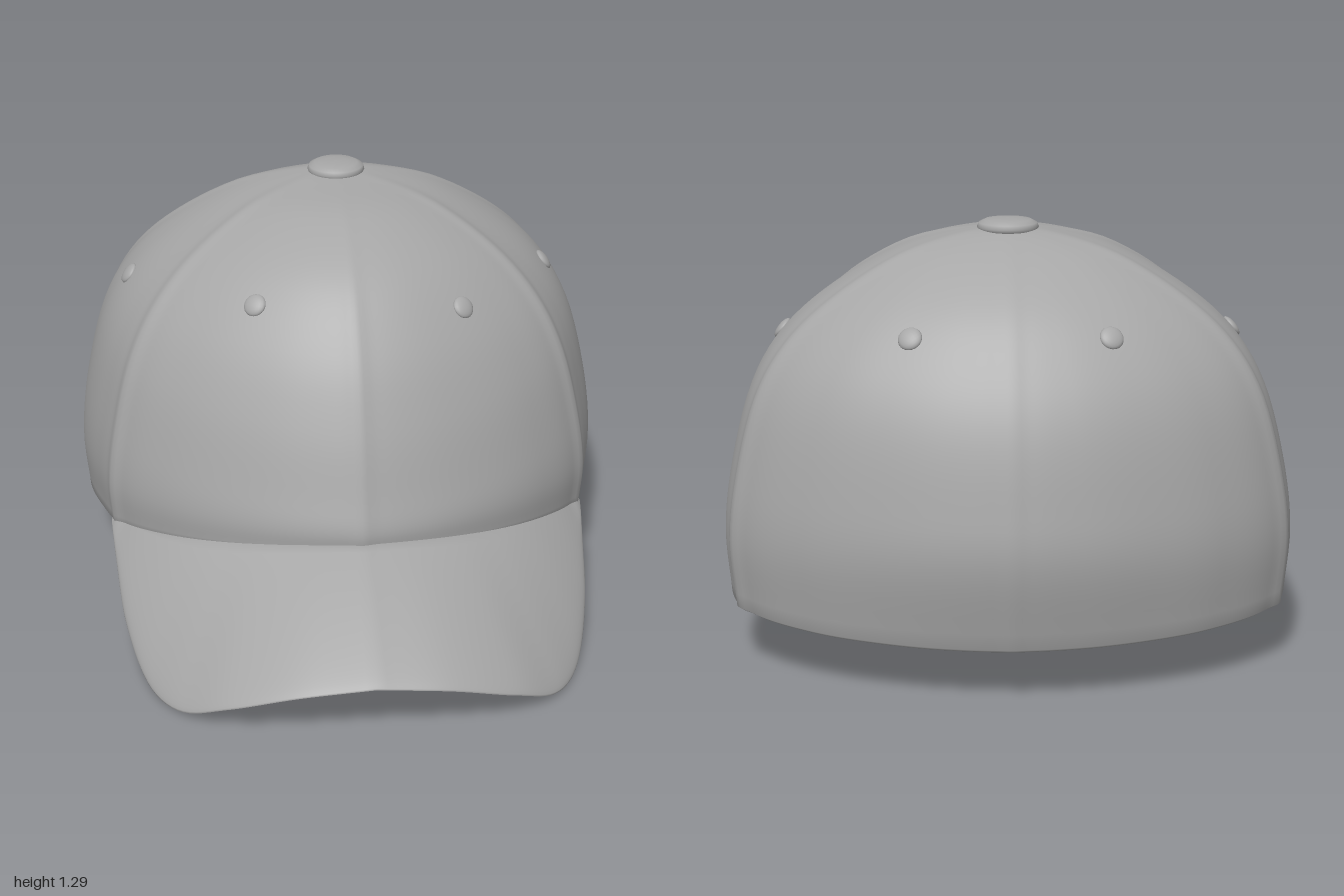
import * as THREE from 'three';

const fabric = new THREE.MeshStandardMaterial({ color: 0xa6a6a6 });
fabric.name = 'grey fabric';

const AXIS_Z = -0.37; // z of the vertical axis through the top button
const rad = THREE.MathUtils.degToRad;

// Smooth curve through [x, y] points, read at x
function smooth(pts, x) {
  const n = pts.length - 1;
  let i = 0;
  while (i < n - 1 && x > pts[i + 1][0]) i++;
  const slope = (k) => {
    const a = pts[Math.max(k - 1, 0)], b = pts[Math.min(k + 1, n)];
    return (b[1] - a[1]) / (b[0] - a[0]);
  };
  const [x0, y0] = pts[i], [x1, y1] = pts[i + 1], h = x1 - x0;
  const t = THREE.MathUtils.clamp((x - x0) / h, 0, 1), t2 = t * t, t3 = t2 * t;
  return (2 * t3 - 3 * t2 + 1) * y0 + (t3 - 2 * t2 + t) * h * slope(i)
    + (3 * t2 - 2 * t3) * y1 + (t3 - t2) * h * slope(i + 1);
}
const byIndex = (values) => values.map((v, i) => [i, v]);

// Skin over rows of points; every row is a closed loop
function loft(rows) {
  const n = rows[0].length, index = [];
  for (let i = 0; i < rows.length - 1; i++) {
    for (let j = 0; j < n; j++) {
      const k = (j + 1) % n;
      const a = i * n + j, b = a + n, c = (i + 1) * n + k, d = i * n + k;
      index.push(a, b, c, a, c, d);
    }
  }
  const geo = new THREE.BufferGeometry().setFromPoints(rows.flat());
  geo.setIndex(index);
  geo.computeVertexNormals();
  return geo;
}

// Plan outline: angle from the front in degrees, radius
const OUTLINE = [[0, 0.93], [12.7, 0.907], [27, 0.884], [43, 0.872], [54, 0.872], [59, 0.868],
  [71, 0.845], [90, 0.845], [108, 0.841], [127, 0.75], [144, 0.68], [162, 0.642], [180, 0.63]];
// Height of the lower rim by z
const RIM = [[-1, 0.175], [-0.6, 0.2], [-0.3, 0.22], [0.05, 0.265], [0.2, 0.297], [0.4, 0.352], [0.56, 0.405]];
// Dome profile stations, top to rim: radius share, then heights at front, side and back
const SHARE = [0, 0.15, 0.38, 0.62, 0.79, 0.9, 0.97, 1];
const HEIGHTS = [
  [1.28, 1.27, 1.235, 1.125, 0.945, 0.74, 0.55, 0.46],
  [1.28, 1.27, 1.215, 1.1, 0.975, 0.82, 0.6, 0.4],
  [1.28, 1.268, 1.2, 1.085, 0.94, 0.79, 0.6, 0.42],
];
const RIM_SHARE = [1.0, 0.985, 0.93];
const LAST = 8;
// Panel seams: angle in degrees, ridge height
const SEAMS = [[0, 0.006], [59, 0.012], [108, 0.012], [180, 0.005]];

// Point on the crown; theta from the front towards +x, s from 0 (top) to LAST (rim)
function crownPoint(theta, s) {
  const c = Math.cos(theta);
  const deg = Math.abs(THREE.MathUtils.radToDeg(Math.atan2(Math.sin(theta), c)));
  const front = Math.max(c, 0) ** 2, back = Math.max(-c, 0) ** 2;
  const weights = [front, 1 - front - back, back];
  const blend = (values) => values.reduce((sum, v, k) => sum + v * weights[k], 0);
  const R = smooth(OUTLINE, deg);
  const rimShare = blend(RIM_SHARE);
  const rimY = smooth(RIM, AXIS_Z + R * rimShare * c);
  const heights = SHARE.map((_, i) => blend(HEIGHTS.map((h) => h[i])));
  let r = R * smooth(byIndex([...SHARE, rimShare]), s);
  const y = smooth(byIndex([...heights, rimY]), s);
  for (const [angle, height] of SEAMS) {
    const d = rad(deg - angle) * r / 0.028;
    r += height * Math.exp(-d * d) * Math.min(1, s / 2);
  }
  return new THREE.Vector3(r * Math.sin(theta), y, AXIS_Z + r * c);
}

// Crown: outer shell, rim lip and inner shell in one skin
function crownGeometry() {
  const around = 288, rows = [];
  const ring = (s, scale, drop) => {
    const row = [];
    for (let j = 0; j < around; j++) {
      const p = crownPoint((j / around) * Math.PI * 2, s);
      p.x *= scale;
      p.z = AXIS_Z + (p.z - AXIS_Z) * scale;
      p.y -= drop;
      row.push(p);
    }
    rows.push(row);
  };
  for (let i = 0; i <= 40; i++) ring(LAST * i / 40, 1, 0);
  ring(LAST, 0.985, 0.008);
  ring(LAST, 0.965, 0.004);
  for (let i = 24; i >= 0; i--) ring(LAST * i / 24, 0.955, 0.03 * (1 - i / 24));
  return loft(rows);
}

// Brim edge from the middle (0) to the corner (1)
const EDGE_AT = [0, 0.15, 0.3, 0.45, 0.58, 0.75, 0.9, 1];
const EDGE = {
  x: [0, 0.22, 0.42, 0.56, 0.65, 0.715, 0.74, 0.748],
  y: [0.195, 0.165, 0.095, 0.025, 0.018, 0.09, 0.19, 0.255],
  z: [0.998, 0.978, 0.91, 0.8, 0.64, 0.4, 0.19, 0.07],
};

// Brim: closed sections from the crown rim out to the edge and back underneath
function brimGeometry() {
  const across = 96, deep = 16, rows = [];
  const edge = (axis, a) => smooth(EDGE_AT.map((t, i) => [t, EDGE[axis][i]]), a);
  for (let i = 0; i <= across; i++) {
    const u = 1 - 2 * i / across, a = Math.abs(u), side = Math.sign(u);
    const inner = crownPoint(rad(61) * u, LAST);
    inner.x *= 0.98;
    inner.z = AXIS_Z + (inner.z - AXIS_Z) * 0.98;
    inner.y += 0.012;
    const outer = new THREE.Vector3(side * edge('x', a), edge('y', a), edge('z', a));
    const at = (v, face) => {
      const p = inner.clone().lerp(outer, v);
      const t = face * 0.013 * Math.sqrt(1 - v ** 10);
      p.y += t + 0.015 * Math.sin(Math.PI * v) * (1 - a);
      p.x += t * p.x;
      return p;
    };
    const row = [];
    for (let j = 0; j <= deep; j++) row.push(at(Math.sin(j / deep * Math.PI / 2), 1));
    for (let j = deep - 1; j >= 0; j--) row.push(at(Math.sin(j / deep * Math.PI / 2), -1));
    rows.push(row);
  }
  return loft(rows);
}

// Eyelet: small raised dot on the crown above plan position x, z
function makeEyelet(x, z) {
  const theta = Math.atan2(x, z - AXIS_Z), reach = Math.hypot(x, z - AXIS_Z);
  let s = 0.5;
  const radius = (p) => Math.hypot(p.x, p.z - AXIS_Z);
  while (s < LAST - 1 && radius(crownPoint(theta, s)) < reach) s += 0.02;
  const p = crownPoint(theta, s);
  const down = crownPoint(theta, s + 0.1).sub(p);
  const along = crownPoint(theta + 0.05, s).sub(p);
  const normal = down.cross(along).normalize();
  const eyelet = new THREE.Mesh(new THREE.SphereGeometry(0.035, 20, 12), fabric);
  eyelet.name = 'eyelet';
  eyelet.scale.z = 0.4;
  eyelet.position.copy(p);
  eyelet.quaternion.setFromUnitVectors(new THREE.Vector3(0, 0, 1), normal);
  return eyelet;
}

export function createModel() {
  const cap = new THREE.Group();
  cap.name = 'cap';
  const add = (name, geo) => {
    const mesh = new THREE.Mesh(geo, fabric);
    mesh.name = name;
    cap.add(mesh);
    return mesh;
  };
  add('crown', crownGeometry());
  add('brim', brimGeometry());

  // Covered button on top
  const profile = [[0, 0], [0.07, 0], [0.086, 0.008], [0.091, 0.02], [0.086, 0.032], [0.068, 0.041], [0.035, 0.045], [0, 0.046]];
  const button = add('topButton', new THREE.LatheGeometry(profile.map(([x, y]) => new THREE.Vector2(x, y)), 40));
  button.position.set(0, 1.26, AXIS_Z);

  for (const [x, z] of [[-0.29, 0.18], [0.34, 0.18], [-0.67, -0.31], [0.67, -0.31], [-0.28, -0.76], [0.28, -0.76]]) {
    cap.add(makeEyelet(x, z));
  }
  return cap;
}
